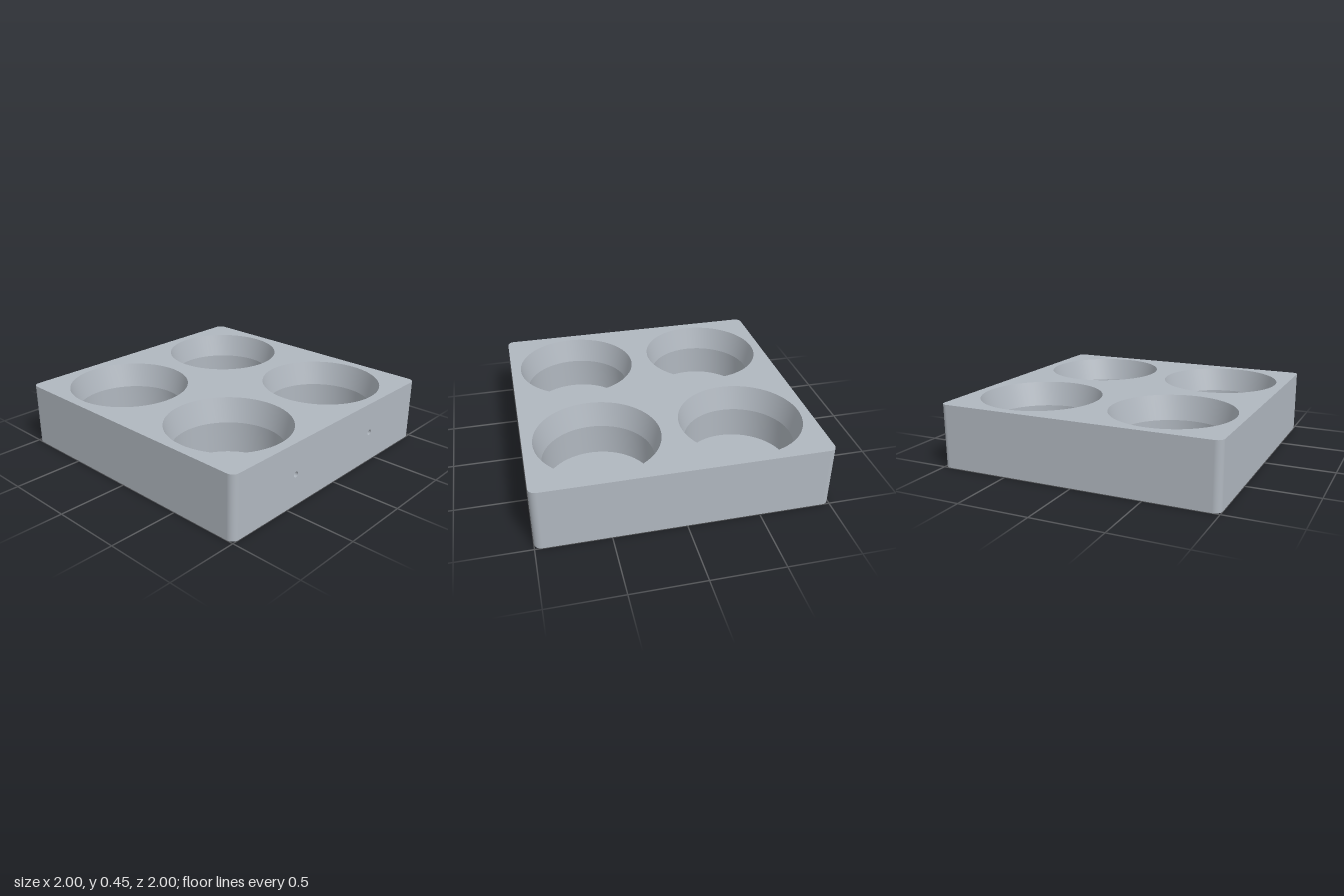
import * as THREE from 'three';
import { toCreasedNormals } from 'three/addons/utils/BufferGeometryUtils.js';

const HEIGHT = 0.45, CORNER = 0.05, FLAT = 1 - CORNER;
const WELL_RADIUS = 0.43, WELL_INNER = 0.385, WELL_FLOOR = 0.045, TAPER_END = 0.275;
const PIN_X = 0.417, PIN_RADIUS = 0.02;

// Rounded square, running counter-clockwise from the right end of the front edge
function blockOutline() {
  const shape = new THREE.Shape();
  shape.moveTo(FLAT, -1);
  [[1, -1], [1, 1], [-1, 1], [-1, -1]].forEach(([x, y], i) => {
    const start = (i - 1) * Math.PI / 2;
    shape.absarc(x * FLAT, y * FLAT, CORNER, start, start + Math.PI / 2);
  });
  return shape;
}

function circleHole(x, y, radius) {
  return new THREE.Path().absarc(x, y, radius, 0, Math.PI * 2, true);
}

// Surface of revolution facing inward: profile runs from the rim to the axis
function hollow(profile, segments) {
  const points = profile.map(([r, y]) => new THREE.Vector2(r, y));
  return toCreasedNormals(new THREE.LatheGeometry(points, segments), 0.15 + 3 / segments * 0.5);
}

// Upright wall following the outline around the corners, sides and back
function wallGeometry(points) {
  const geometry = new THREE.PlaneGeometry(1, 1, points.length - 1, 1);
  const position = geometry.attributes.position;
  for (let i = 0; i < position.count; i++) {
    const p = points[i % points.length];
    position.setXYZ(i, p.x, i < points.length ? HEIGHT : 0, -p.y);
  }
  geometry.computeVertexNormals();
  return geometry;
}

export function createModel() {
  const model = new THREE.Group();
  model.name = 'fourWellTray';
  const grey = new THREE.MeshStandardMaterial({ color: 0xb0b7bf });
  grey.name = 'light grey';

  const add = (name, geometry, x = 0, y = 0, z = 0) => {
    const mesh = new THREE.Mesh(geometry, grey);
    mesh.name = name;
    mesh.position.set(x, y, z);
    model.add(mesh);
  };

  // Block shell
  add('sideWalls', wallGeometry(blockOutline().getPoints(8)));
  add('base', new THREE.ShapeGeometry(blockOutline(), 8).rotateX(Math.PI / 2));

  // Top plate pierced by the wells
  const top = blockOutline();
  const centres = [[-0.5, -0.5], [0.5, -0.5], [-0.5, 0.5], [0.5, 0.5]];
  for (const [x, z] of centres) top.holes.push(circleHole(x, -z, WELL_RADIUS));
  add('topFace', new THREE.ShapeGeometry(top, 32).rotateX(-Math.PI / 2), 0, HEIGHT, 0);

  // Wells: tapered mouth, straight wall, flat floor
  const well = hollow([
    [WELL_RADIUS, HEIGHT], [WELL_INNER, TAPER_END], [WELL_INNER, WELL_FLOOR], [0, WELL_FLOOR],
  ], 64);
  for (const [x, z] of centres) add('well', well, x, 0, z);

  // Front face with two small drilled holes
  const front = new THREE.Shape();
  front.moveTo(-FLAT, 0).lineTo(FLAT, 0).lineTo(FLAT, HEIGHT).lineTo(-FLAT, HEIGHT).closePath();
  const pin = hollow([
    [PIN_RADIUS, 0], [PIN_RADIUS, -0.06], [0, -0.072],
  ], 24).rotateX(Math.PI / 2);
  for (const x of [-PIN_X, PIN_X]) {
    front.holes.push(circleHole(x, HEIGHT / 2, PIN_RADIUS));
    add('pinHole', pin, x, HEIGHT / 2, 1);
  }
  add('frontFace', new THREE.ShapeGeometry(front, 12), 0, 0, 1);

  return model;
}
